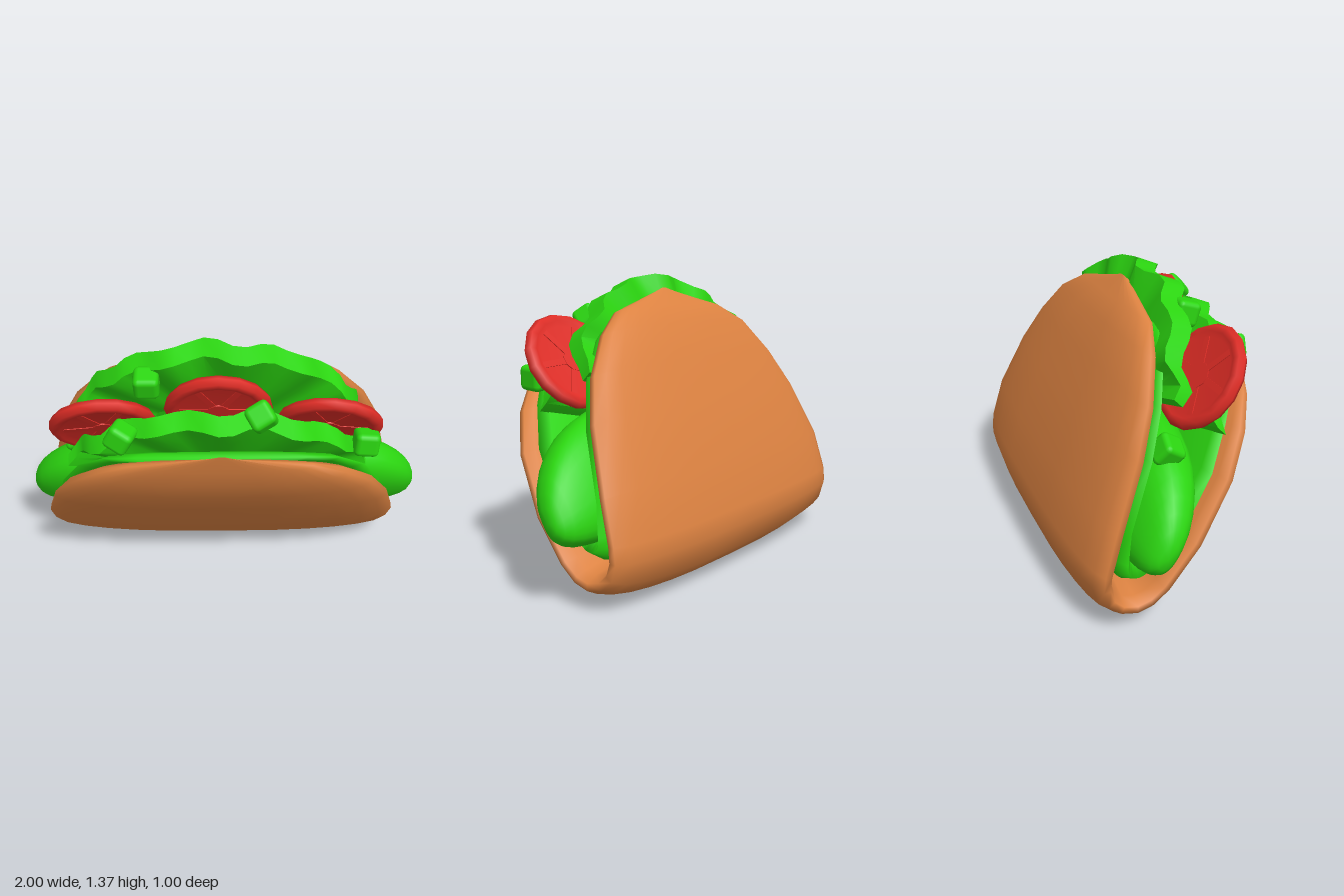
import * as THREE from 'three';
import { mergeVertices, toCreasedNormals } from 'three/addons/utils/BufferGeometryUtils.js';
import { RoundedBoxGeometry } from 'three/addons/geometries/RoundedBoxGeometry.js';

const mat = (color) => new THREE.MeshStandardMaterial({ color });
const bread = mat(0xdc8241), green = mat(0x2bd510), red = mat(0xdd2c25);
const soft = (v, p) => Math.sign(v) * Math.abs(v) ** p;

// Closed skin over rings of points, each ring counter-clockwise about the loft direction
function loft(rings) {
  const n = rings[0].length, last = (rings.length - 1) * n, index = [];
  for (let i = 0; i < rings.length - 1; i++) {
    for (let j = 0; j < n; j++) {
      const a = i * n + j, b = i * n + (j + 1) % n;
      index.push(a, b, b + n, a, b + n, a + n);
    }
  }
  for (let j = 1; j < n - 1; j++) index.push(0, j + 1, j, last, last + j, last + j + 1);
  const g = new THREE.BufferGeometry();
  g.setAttribute('position', new THREE.Float32BufferAttribute(rings.flat(2), 3));
  g.setIndex(index);
  g.computeVertexNormals();
  return g;
}

// Fold stations from back rim to front rim: outer z, y, inner z, y, half width
const FOLD = [
  [0.02, 1.30, 0.05, 1.27, 0.03], [-0.06, 1.22, 0.02, 1.18, 0.42], [-0.14, 1.14, -0.02, 1.08, 0.58],
  [-0.22, 0.98, -0.09, 0.92, 0.73], [-0.31, 0.80, -0.17, 0.73, 0.83], [-0.43, 0.52, -0.29, 0.46, 0.91],
  [-0.49, 0.30, -0.34, 0.30, 0.925], [-0.505, 0.22, -0.34, 0.24, 0.925], [-0.47, 0.10, -0.33, 0.21, 0.925],
  [-0.38, 0.025, -0.31, 0.19, 0.925], [-0.27, 0.00, -0.27, 0.18, 0.925], [-0.17, 0.03, -0.23, 0.19, 0.925],
  [-0.06, 0.12, -0.19, 0.22, 0.925], [0.10, 0.31, -0.05, 0.38, 0.91], [0.28, 0.55, 0.13, 0.61, 0.83],
  [0.39, 0.71, 0.24, 0.78, 0.72], [0.45, 0.82, 0.34, 0.89, 0.58], [0.48, 0.92, 0.42, 0.95, 0.42],
  [0.50, 1.02, 0.49, 1.00, 0.03],
];

// Folded slab with rounded edges, narrowing toward its outer face
function folded(stations, taper, sides = 24) {
  return loft(stations.map(([oz, oy, iz, iy, w]) => Array.from({ length: sides }, (_, j) => {
    const t = -j / sides * Math.PI * 2;
    const k = (soft(Math.sin(t), 0.75) + 1) / 2;
    const x = soft(Math.cos(t), 0.65) * w * (1 - taper * k ** 3);
    return [x - 0.018, iy + (oy - iy) * k, iz + (oz - iz) * k];
  })));
}

// Leaf against the inside of the fold, closing up at the crease
function liningGeometry() {
  const stations = FOLD.slice(1, -1).map(([oz, oy, iz, iy, w]) => {
    const l = Math.hypot(iz - oz, iy - oy), dz = (iz - oz) / l, dy = (iy - oy) / l;
    const inner = iy < 0.32 ? [-0.24, 0.32] : [iz + dz * 0.04, iy + dy * 0.04];
    return [iz - dz * 0.02, iy - dy * 0.02, ...inner, w * 0.93];
  });
  return folded(stations, 0, 12);
}

// Arched ruffled leaf leaning forward, thinning toward its ends
function ruffledLeaf({ rx, cx, base, h, topZ, slope, spread, phase }) {
  const rings = [], N = 28;
  for (let i = 0; i <= N; i++) {
    const a = (i / N * 2 - 1) * spread;
    const wave = Math.sin(i * 1.3 + phase) + 0.5 * Math.sin(i * 0.8 + phase * 2);
    const half = 0.05 - 0.03 * (a / spread) ** 4;
    const point = (r, side) => {
      const rr = r * (1 + 0.01 * Math.sin(i * 1.9 + phase));
      const y = base + h * rr * Math.cos(a);
      const z = topZ + (y - base - h) * slope + wave * 0.03 * r * r + side * half;
      return [cx + rx * rr * Math.sin(a), y - side * 0.02, z];
    };
    rings.push([point(1, -1), point(1, 1), point(0.8, 1), point(0.5, 0.8), point(0.5, -0.8), point(0.8, -1)]);
  }
  return toCreasedNormals(loft(rings), 0.7);
}

// Long plump filling with drooping ends
function fillingGeometry() {
  let g = new THREE.SphereGeometry(1, 28, 22).rotateZ(Math.PI / 2);
  const p = g.attributes.position;
  for (let i = 0; i < p.count; i++) {
    const x = soft(p.getX(i), 0.68);
    p.setXYZ(i, x, soft(p.getY(i), 0.85) * 0.31 - 0.15 * x ** 4, soft(p.getZ(i), 0.8) * 0.165);
  }
  g.deleteAttribute('uv');
  g.deleteAttribute('normal');
  g = mergeVertices(g, 1e-4);
  g.computeVertexNormals();
  return g;
}

// Tomato slice: raised rim, sunken face, hub and spokes
function tomatoSlice() {
  const slice = new THREE.Group();
  const profile = [[0, -0.014], [0.18, -0.014], [0.205, -0.028], [0.235, -0.026], [0.25, 0],
    [0.235, 0.026], [0.205, 0.028], [0.18, 0.014], [0, 0.014]].map(([r, y]) => new THREE.Vector2(r, y));
  const add = (name, geo) => {
    const m = new THREE.Mesh(geo, red);
    m.name = name;
    slice.add(m);
    return m;
  };
  add('sliceRim', new THREE.LatheGeometry(profile, 16));
  add('sliceHub', new THREE.CylinderGeometry(0.05, 0.06, 0.04, 10));
  for (let i = 0; i < 3; i++) {
    add('sliceSpoke', new THREE.BoxGeometry(0.39, 0.035, 0.03)).rotation.y = i * Math.PI / 3;
  }
  return slice;
}

export function createModel() {
  const model = new THREE.Group();
  model.name = 'taco';
  const add = (name, obj, material) => {
    const o = obj.isBufferGeometry ? new THREE.Mesh(obj, material) : obj;
    o.name = name;
    model.add(o);
    return o;
  };

  add('shell', folded(FOLD, 0.25), bread);
  add('liningLeaf', liningGeometry(), green);

  const filling = add('filling', fillingGeometry(), green);
  filling.position.set(0, 0.52, -0.1);
  filling.rotation.x = 0.52;

  add('backLettuce', ruffledLeaf({
    rx: 0.72, cx: -0.03, base: 0.75, h: 0.59, topZ: 0.15, slope: 0.46, spread: 1.25, phase: 0.4,
  }), green);
  add('frontLettuce', ruffledLeaf({
    rx: 0.74, cx: -0.03, base: 0.62, h: 0.51, topZ: 0.39, slope: 0.66, spread: 1.25, phase: 1.7,
  }), green);

  // Tomato slices: x, y, z, forward lean, sideways turn
  for (const [x, y, z, lean, turn] of [
    [-0.56, 0.97, 0.17, 0.6, -0.08], [-0.03, 1.05, 0.16, 0.46, 0], [0.48, 0.97, 0.17, 0.6, 0.08],
  ]) {
    const slice = add('tomatoSlice', tomatoSlice());
    slice.position.set(x, y, z);
    slice.rotation.set(Math.PI / 2 + lean, 0, turn);
  }

  // Diced pieces scattered over the top
  const dice = new RoundedBoxGeometry(0.115, 0.115, 0.115, 2, 0.025);
  [[-0.35, 1.2, 0.18], [0.155, 1.14, 0.37], [-0.46, 1.04, 0.37], [0.65, 0.91, 0.23], [-0.72, 0.73, -0.06]]
    .forEach(([x, y, z], i) => {
      const d = add('dicedPiece', dice, green);
      d.position.set(x, y, z);
      d.rotation.set(0.3 + i * 0.4, 0.5 * i, 0.25 * (i % 3));
    });
  return model;
}
